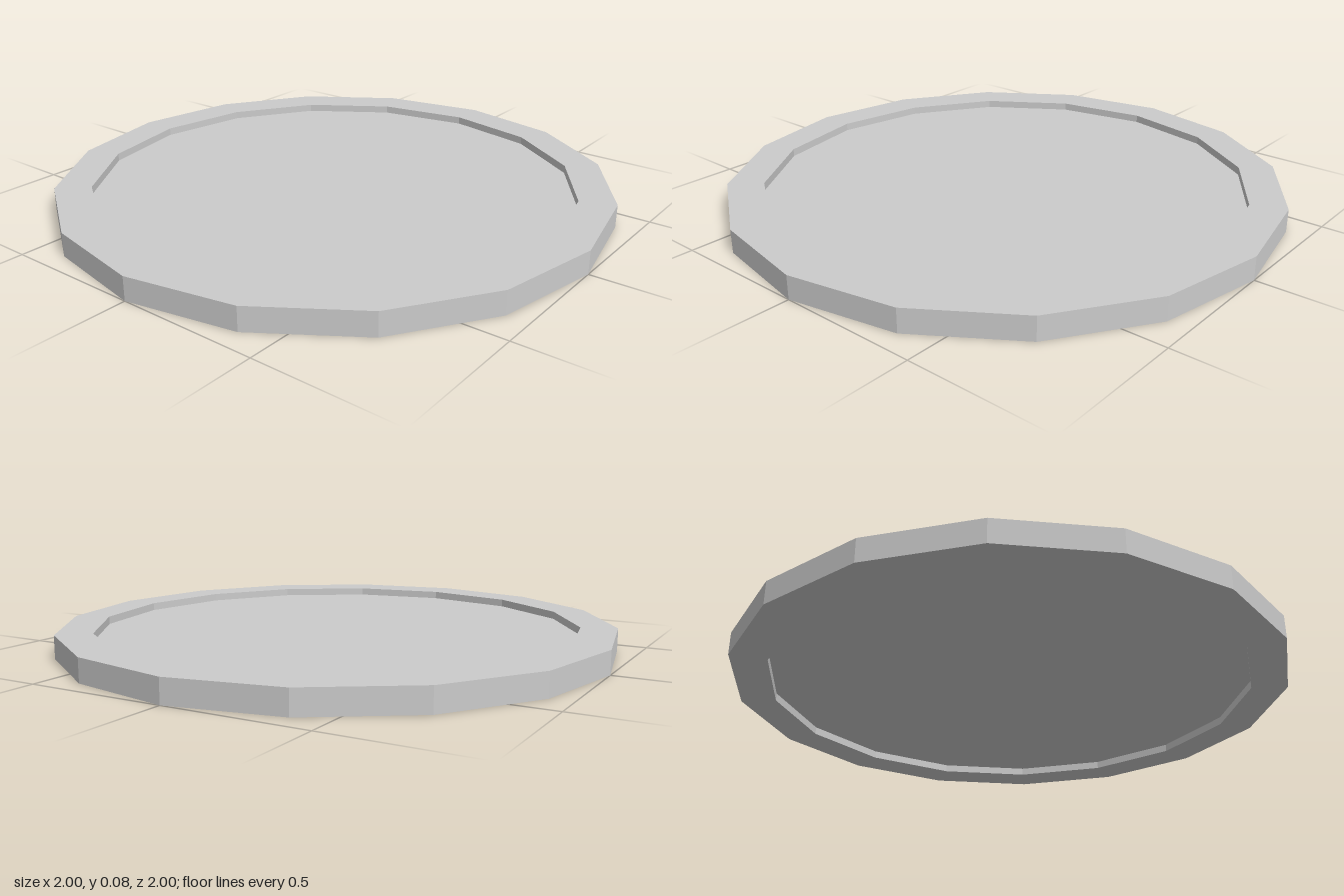
import * as THREE from 'three';

const SIDES = 16;
const HEIGHT = 0.083;
const RECESS = 0.028; // depth of the sunken centre on both faces
const OUTER = 1;
const INNER = 0.87;

export function createModel() {
  const group = new THREE.Group();
  group.name = 'disc';

  // Half section: sunken underside, raised rim, sunken top
  const profile = [
    [0, RECESS],
    [INNER, RECESS],
    [INNER, 0],
    [OUTER, 0],
    [OUTER, HEIGHT],
    [INNER, HEIGHT],
    [INNER, HEIGHT - RECESS],
    [0, HEIGHT - RECESS],
  ].map(([x, y]) => new THREE.Vector2(x, y));

  const material = new THREE.MeshStandardMaterial({ color: 0xcccccc, flatShading: true });
  const plate = new THREE.Mesh(new THREE.LatheGeometry(profile, SIDES), material);
  plate.name = 'rimmedPlate';
  group.add(plate);

  return group;
}
